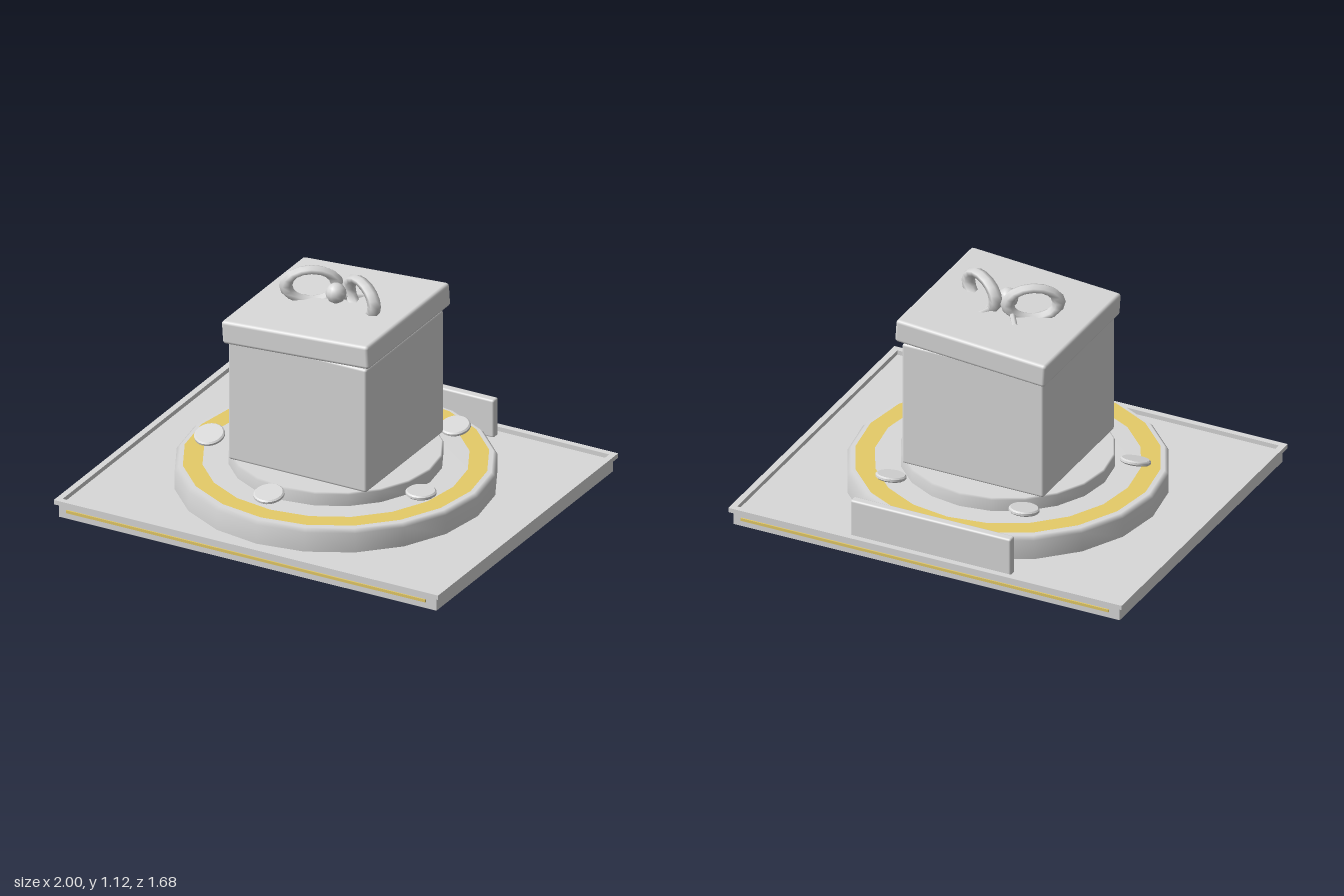
import * as THREE from 'three';
import { RoundedBoxGeometry } from 'three/addons/geometries/RoundedBoxGeometry.js';
import { toCreasedNormals } from 'three/addons/utils/BufferGeometryUtils.js';

export function createModel() {
  const group = new THREE.Group();
  const grey = new THREE.MeshStandardMaterial({ color: 0xd9d9d9 });
  grey.name = 'light grey';
  const gold = new THREE.MeshStandardMaterial({ color: 0xe6cc68 });
  gold.name = 'gold';

  const add = (name, geometry, material, x = 0, y = 0, z = 0, parent = group) => {
    const mesh = new THREE.Mesh(geometry, material);
    mesh.name = name;
    mesh.position.set(x, y, z);
    parent.add(mesh);
    return mesh;
  };
  const rounded = (w, h, d, r) => new RoundedBoxGeometry(w, h, d, 2, r);
  const lathe = (points) => new THREE.LatheGeometry(points.map(([x, y]) => new THREE.Vector2(x, y)), 20);

  // Flat rectangular frame lying on its back, from y = 0 up to its height
  const frame = (halfX, halfZ, thickness, height) => {
    const x = halfX - thickness;
    const z = halfZ - thickness;
    const shape = new THREE.Shape();
    shape.moveTo(-halfX, -halfZ).lineTo(halfX, -halfZ).lineTo(halfX, halfZ).lineTo(-halfX, halfZ).closePath();
    const opening = new THREE.Path();
    opening.moveTo(-x, -z).lineTo(-x, z).lineTo(x, z).lineTo(x, -z).closePath();
    shape.holes.push(opening);
    return new THREE.ExtrudeGeometry(shape, { depth: height, bevelEnabled: false }).rotateX(-Math.PI / 2);
  };

  // Base: floor plate on thin side walls, hollow below, with an overhanging raised rim
  add('baseWalls', frame(0.982, 0.818, 0.014, 0.066), grey);
  add('baseFloor', new THREE.BoxGeometry(1.96, 0.01, 1.632), grey, 0, 0.061, 0);
  add('baseRim', frame(1, 0.835, 0.03, 0.022), grey, 0, 0.066, 0);

  // Gold trim along the front and back edges
  for (const side of [1, -1]) {
    add(side > 0 ? 'frontTrim' : 'backTrim', new THREE.BoxGeometry(1.87, 0.014, 0.006), gold, 0, 0.046, side * 0.836);
  }

  // Stepped round platform with softened edges
  const tier = (name, radius, bottom, top, chamfer) => {
    add(name, lathe([[radius, bottom], [radius, top - chamfer], [radius - chamfer, top], [0, top]]), grey);
  };
  tier('lowerTier', 0.737, 0.066, 0.18, 0.018);
  tier('upperTier', 0.491, 0.18, 0.245, 0.008);
  add('goldRing', new THREE.RingGeometry(0.61, 0.7, 20).rotateX(-Math.PI / 2), gold, 0, 0.184, 0);

  // Upright plaque at the back
  add('backPlaque', rounded(0.815, 0.19, 0.045, 0.01), grey, 0, 0.157, -0.758);

  // Gift box and its tilted lid
  add('giftBox', rounded(0.72, 0.622, 0.718, 0.012), grey, -0.001, 0.556, 0);
  const lid = add('lid', rounded(0.765, 0.114, 0.768, 0.016), grey, 0, 0.916, 0);
  lid.rotation.z = 0.066;

  // Bow: two angled loops, a knot and two short tails
  const bow = new THREE.Group();
  bow.name = 'bow';
  bow.position.y = 1.026;
  group.add(bow);
  for (const side of [1, -1]) {
    const loop = add('bowLoop', new THREE.TorusGeometry(0.118, 0.031, 6, 16), grey, side * 0.13, 0, -0.005, bow);
    loop.scale.y = 0.65;
    loop.rotation.y = -side * 0.55;
    const tailPath = new THREE.LineCurve3(new THREE.Vector3(side * 0.02, -0.03, -0.02), new THREE.Vector3(side * 0.1, -0.065, -0.13));
    add('bowTail', new THREE.TubeGeometry(tailPath, 1, 0.014, 6), grey, 0, 0, 0, bow);
  }
  add('bowKnot', new THREE.SphereGeometry(0.048, 12, 8), grey, 0, -0.008, 0, bow);

  // Tilted bevelled discs scattered around the platform: x, y, z, forward tilt
  const discGeometry = toCreasedNormals(
    lathe([[0, -0.011], [0.064, -0.011], [0.071, -0.005], [0.071, 0.005], [0.064, 0.011], [0, 0.011]]), 0.5);
  const discs = [
    [-0.33, 0.246, -0.49, 0.15],
    [0.36, 0.231, -0.465, 0.22],
    [0.555, 0.23, 0.2, 0],
    [-0.02, 0.248, 0.585, 0.2],
    [-0.568, 0.232, 0.16, 0.32],
  ];
  for (const [x, y, z, tilt] of discs) {
    add('disc', discGeometry, grey, x, y, z).rotation.x = tilt;
  }
  return group;
}
